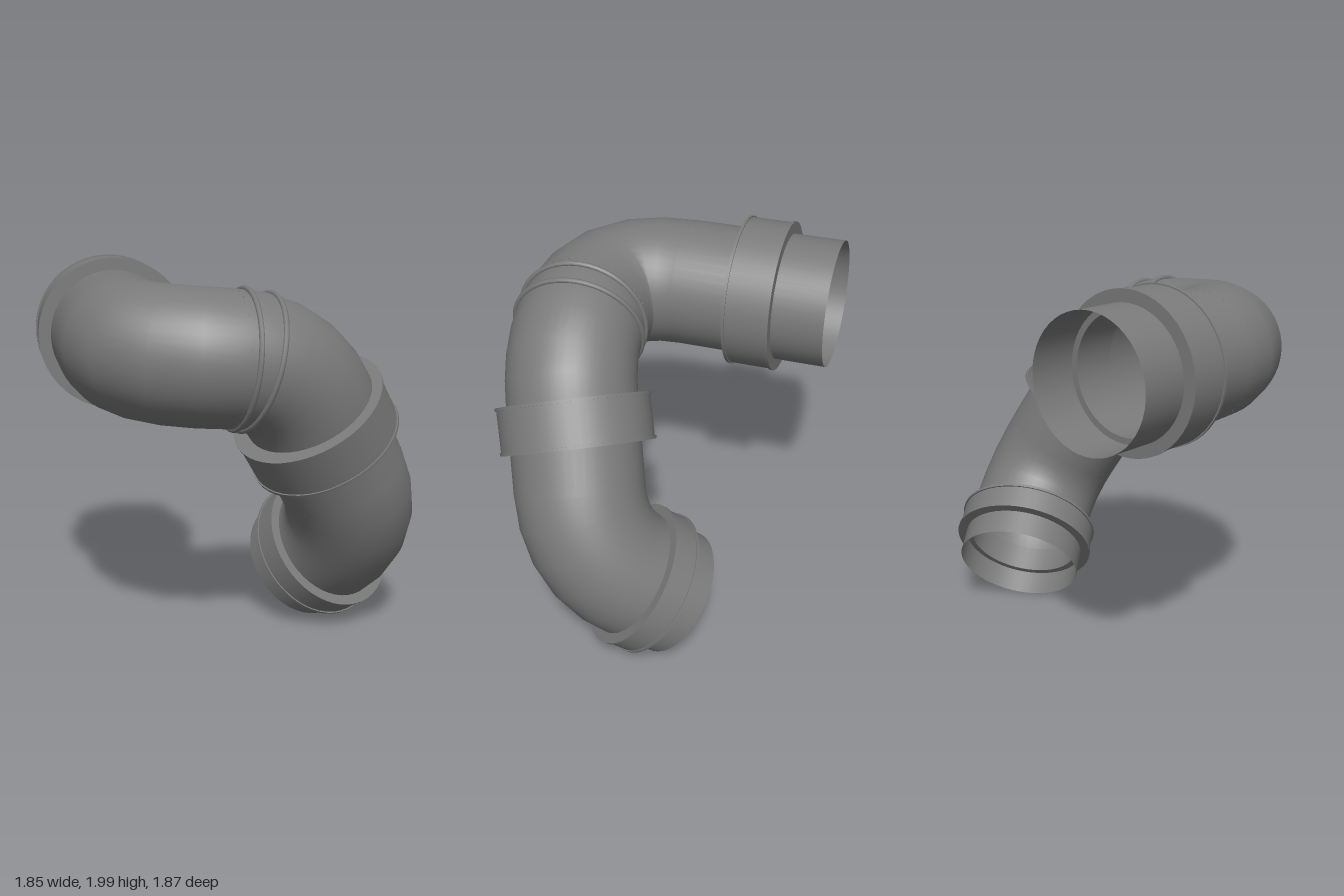
import * as THREE from 'three';

const PIPE_R = 0.338, SIDES = 48;
const material = new THREE.MeshStandardMaterial({ color: 0x7a7a7a, side: THREE.DoubleSide });
const V = (x, y, z) => new THREE.Vector3(x, y, z);
const UP = V(0, 1, 0);

// Smooth bend that rounds a corner between two straight runs
const makeBend = (before, corner, after, reach) => {
  const toward = (p) => corner.clone().addScaledVector(p.clone().sub(corner).normalize(), reach);
  return new THREE.QuadraticBezierCurve3(toward(before), corner, toward(after));
};

export function createModel() {
  const group = new THREE.Group();
  const add = (name, geometry) => {
    const mesh = new THREE.Mesh(geometry, material);
    mesh.name = name;
    group.add(mesh);
    return mesh;
  };
  const place = (mesh, point, dir) => {
    mesh.position.copy(point);
    mesh.quaternion.setFromUnitVectors(UP, dir);
  };

  // Open straight length of pipe
  const straight = (name, a, b) => {
    const length = a.distanceTo(b);
    const mesh = add(name, new THREE.CylinderGeometry(PIPE_R, PIPE_R, length, SIDES, 1, true));
    place(mesh, a.clone().lerp(b, 0.5), b.clone().sub(a).normalize());
  };

  // Socket collar with a raised lip at both ends; doubled points keep edges sharp
  const collar = (name, from, toward, near, far, r) => {
    const h = far - near, lip = 0.015, body = r - 0.007, inner = 0.305;
    const corners = [[inner, 0], [r, 0], [r, lip], [body, lip], [body, h - lip],
      [r, h - lip], [r, h], [inner, h], [inner, 0]];
    const profile = [];
    for (let i = 0; i < corners.length - 1; i++) {
      const a = new THREE.Vector2(...corners[i]), b = new THREE.Vector2(...corners[i + 1]);
      profile.push(a, a.clone().lerp(b, 0.001), a.clone().lerp(b, 0.999), b);
    }
    const dir = toward.clone().sub(from).normalize();
    const mesh = add(name, new THREE.LatheGeometry(profile, SIDES));
    place(mesh, from.clone().addScaledVector(dir, near), dir);
  };

  // Thin raised bead around a joint
  const bead = (name, point, dir) => {
    const geometry = new THREE.TorusGeometry(0.341, 0.014, 8, SIDES);
    geometry.rotateX(Math.PI / 2);
    place(add(name, geometry), point, dir);
  };

  // Corners of the centreline, from the upper rear opening to the lower one
  const path = [V(-0.325, 1.6, -0.83), V(-0.703, 1.6, 0.394), V(0.03, 1.545, 0.568),
    V(0.583, 0.632, 0.475), V(0.49, 0.283, 0.018)];
  const names = ['upper', 'middle', 'lower'];
  const bends = [0.46, 0.29, 0.33].map((reach, i) =>
    makeBend(path[i], path[i + 1], path[i + 2], reach));

  bends.forEach((bend, i) => {
    add(names[i] + 'Elbow', new THREE.TubeGeometry(bend, 5, PIPE_R, SIDES, false));
    straight(names[i] + 'Pipe', i ? bends[i - 1].v2 : path[0], bend.v0);
  });
  straight('outletPipe', bends[2].v2, path[4]);

  collar('upperCollar', path[0], path[1], 0.275, 0.522, 0.402);
  collar('middleCollar', V(0.165, 1.3, 0.54), V(0.3, 1.1, 0.51), 0, 0.243, 0.402);
  collar('lowerCollar', path[4], path[3], 0.14, 0.29, 0.39);

  // Joint between the upper and middle elbows
  const joint = bends[1];
  [0.06, 0.22].forEach((t, i) =>
    bead(i ? 'jointBeadInner' : 'jointBeadOuter', joint.getPoint(t), joint.getTangent(t)));

  return group;
}
